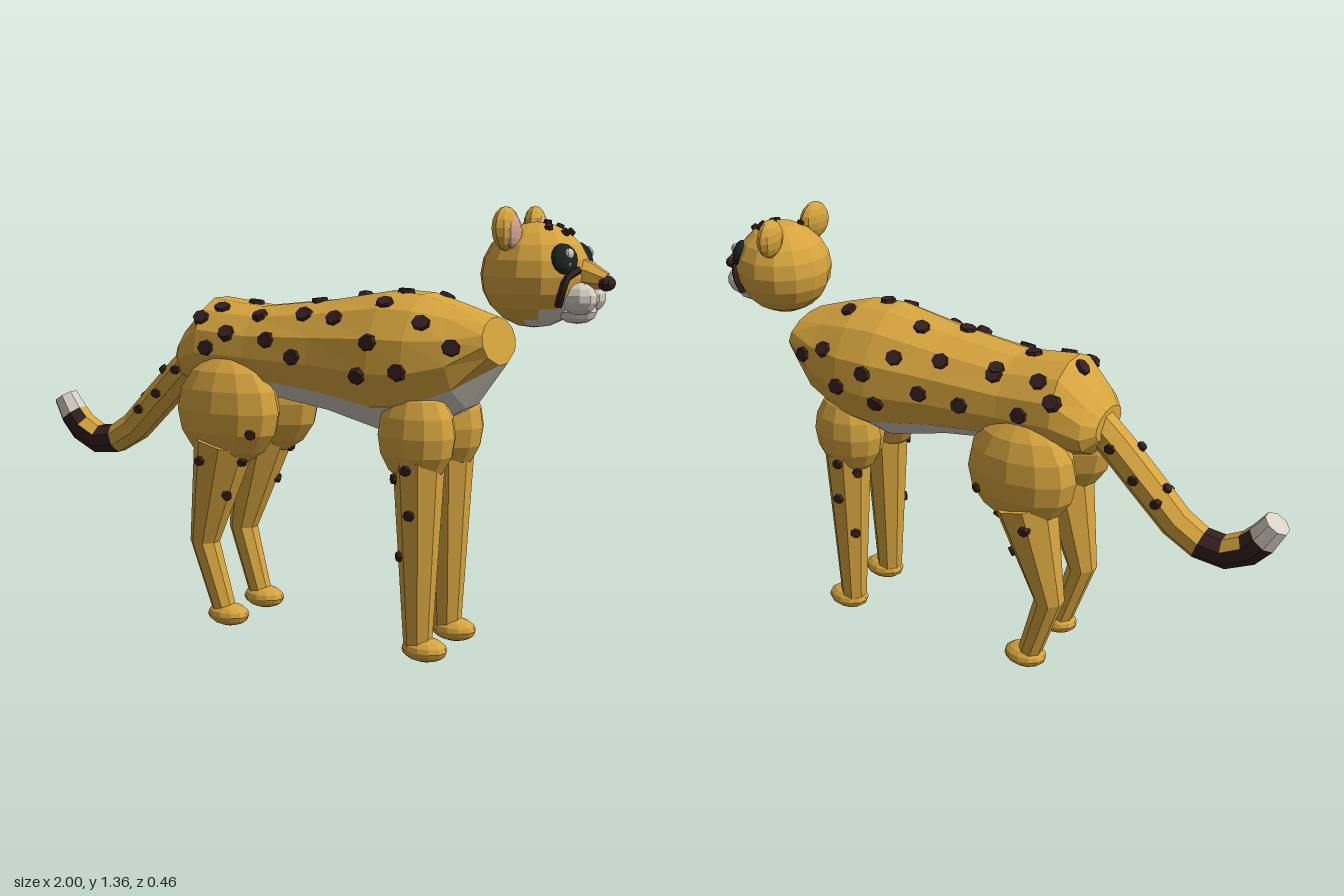
import * as THREE from 'three';

const V = (x, y, z) => new THREE.Vector3(x, y, z);
const paint = (name, color) => Object.assign(new THREE.MeshStandardMaterial({ color }), { name });

export function createModel() {
  const fur = paint('golden fur', 0xd6a43e);
  const cream = paint('cream fur', 0xd6cfc4);
  const dark = paint('dark brown', 0x34201f);
  const black = paint('eye black', 0x1b2321);
  const pink = paint('ear pink', 0xd3a18c);
  const root = new THREE.Group();
  root.name = 'spottedCat';

  // Faceted mesh; rule(centroid, normal, triangle) may pick a material index per face
  function part(name, geo, mat, rule) {
    const g = geo.index ? geo.toNonIndexed() : geo;
    g.clearGroups();
    g.computeVertexNormals();
    if (rule) {
      const p = g.attributes.position, n = g.attributes.normal;
      for (let k = 0; k < p.count / 3; k++) {
        const c = V(0, 0, 0);
        for (let i = 0; i < 3; i++) c.add(V(0, 0, 0).fromBufferAttribute(p, k * 3 + i));
        const normal = V(0, 0, 0).fromBufferAttribute(n, k * 3);
        g.addGroup(k * 3, 3, rule(c.divideScalar(3), normal, k));
      }
    }
    const mesh = new THREE.Mesh(g, mat);
    mesh.name = name;
    root.add(mesh);
    return mesh;
  }

  // Ellipsoid whose local z axis points along dir
  function ball(name, mat, pos, size, w = 12, h = 8, dir = V(0, 0, 1), rule) {
    const g = new THREE.SphereGeometry(1, w, h).scale(...size);
    g.applyQuaternion(new THREE.Quaternion().setFromUnitVectors(V(0, 0, 1), dir.clone().normalize()));
    return part(name, g.translate(...pos), mat, rule);
  }

  // Skin of quads between closed rings, with capped ends
  function loft(rings) {
    const out = [], n = rings[0].length;
    const tri = (...pts) => pts.forEach(p => out.push(p.x, p.y, p.z));
    for (let i = 0; i < rings.length - 1; i++) {
      for (let j = 0; j < n; j++) {
        const k = (j + 1) % n;
        const a = rings[i][j], b = rings[i + 1][j], c = rings[i + 1][k], d = rings[i][k];
        if (j < n / 2) { tri(a, b, d); tri(b, c, d); } else { tri(a, b, c); tri(a, c, d); }
      }
    }
    for (const [ring, end] of [[rings[0], 0], [rings[rings.length - 1], 1]]) {
      const mid = ring.reduce((s, p) => s.add(p), V(0, 0, 0)).divideScalar(n);
      for (let j = 0; j < n; j++) {
        const p = ring[j], q = ring[(j + 1) % n];
        if (end) tri(mid, q, p); else tri(mid, p, q);
      }
    }
    const g = new THREE.BufferGeometry();
    g.setAttribute('position', new THREE.Float32BufferAttribute(out, 3));
    return g;
  }

  // Limb along points [x, y, z, radius]
  function limb(points, sides = 8) {
    return loft(points.map(([x, y, z, r], i) => {
      const a = points[Math.max(i - 1, 0)], b = points[Math.min(i + 1, points.length - 1)];
      const t = V(b[0] - a[0], b[1] - a[1], 0).normalize();
      return Array.from({ length: sides }, (_, j) => {
        const u = (j + 0.5) / sides * Math.PI * 2, c = -r * Math.cos(u);
        return V(x - t.y * c, y + t.x * c, z + r * Math.sin(u));
      });
    }));
  }

  // Body: [x, top, bottom, half width, lean]
  const angles = [-15, 15, 57, 85, 112, 140, 166, 194, 220, 248, 275, 303];
  const sections = [
    [-0.42, 0.93, 0.83, 0.09, 0], [-0.385, 0.98, 0.78, 0.135, 0], [-0.30, 1.072, 0.76, 0.165, 0],
    [-0.12, 1.052, 0.765, 0.165, 0], [0.12, 1.08, 0.73, 0.18, 0], [0.33, 1.118, 0.677, 0.205, 0],
    [0.44, 1.112, 0.69, 0.203, 0], [0.565, 1.08, 0.77, 0.172, -0.02], [0.665, 1.045, 0.905, 0.13, -0.015],
  ];
  const body = part('body', loft(sections.map(([x, top, low, rz, lean]) => angles.map(deg => {
    const a = deg * Math.PI / 180, ry = (top - low) / 2;
    return V(x - lean * Math.cos(a), (top + low) / 2 - ry * Math.cos(a), rz * Math.sin(a));
  }))), [fur, cream], (c, n, k) => {
    const seg = Math.floor(k / 24), j = Math.floor(k / 2) % 12;
    if (seg < 2 || seg > 7) return 0;
    if (seg === 7) return j === 0 || (j === 1 && k % 2 === 0) || (j === 11 && k % 2 === 1) ? 1 : 0;
    return j < 2 || j === 11 ? 1 : 0;
  });

  // Tail with dark end and pale tip
  const tail = part('tail', limb([
    [-0.37, 0.885, 0, 0.057], [-0.45, 0.815, 0, 0.056], [-0.545, 0.72, 0, 0.056], [-0.655, 0.61, 0, 0.054],
    [-0.735, 0.562, 0, 0.052], [-0.815, 0.553, 0, 0.052], [-0.885, 0.588, 0, 0.052],
    [-0.925, 0.632, 0, 0.05], [-0.962, 0.692, 0, 0.043],
  ]), [fur, dark, cream], (c, n, k) => {
    const seg = Math.floor(k / 16);
    if (seg === 7 || (seg > 7 && c.x < -0.9)) return 2;
    if (seg < 4 || seg > 7) return 0;
    return seg > 4 && n.y > 0.5 ? 0 : 1;
  });

  // Legs, mirrored
  const limbs = [];
  for (const s of [1, -1]) {
    limbs.push(
      ball('shoulder', fur, [0.455, 0.695, s * 0.108], [0.122, 0.15, 0.094]),
      part('frontLeg', limb([[0.465, 0.62, s * 0.112, 0.078], [0.47, 0.03, s * 0.112, 0.042]]), fur),
      ball('frontPaw', fur, [0.492, 0.042, s * 0.112], [0.073, 0.037, 0.054]),
      ball('thigh', fur, [-0.195, 0.722, s * 0.125], [0.185, 0.178, 0.103]),
      part('hindLeg', limb([[-0.21, 0.62, s * 0.128, 0.1], [-0.295, 0.28, s * 0.118, 0.049],
        [-0.22, 0.04, s * 0.112, 0.038]]), fur),
      ball('hindPaw', fur, [-0.21, 0.042, s * 0.112], [0.073, 0.037, 0.054]));
  }

  // Head with pale throat
  const hc = V(0.768, 1.17, 0);
  const head = ball('head', [fur, cream], hc.toArray(), [0.155, 0.15, 0.157], 14, 10, V(1, 0, 0), (c) => {
    c.sub(hc);
    return c.y < -0.06 && c.x > 0 && Math.abs(c.z) < 0.09 ? 1 : 0;
  });

  // Face
  part('snout', limb([[0.86, 1.18, 0, 0.06], [0.925, 1.172, 0, 0.042], [0.975, 1.158, 0, 0.024]]), fur);
  ball('nose', dark, [0.977, 1.152, 0], [0.037, 0.022, 0.024], 10, 6, V(1, 0, 0));
  ball('chin', cream, [0.895, 1.072, 0], [0.058, 0.036, 0.062], 10, 6);
  for (const s of [1, -1]) {
    ball('muzzle', cream, [0.912, 1.11, s * 0.04], [0.053, 0.046, 0.047], 10, 7);
    const look = V(0.115, 0.05, s * 0.082);
    ball('eye', black, [0.88, 1.22, s * 0.082], [0.042, 0.045, 0.024], 12, 8, look);
    ball('eyeGlint', cream, [0.897, 1.236, s * 0.088], [0.014, 0.016, 0.01], 8, 5, look);
    ball('eyeGlint', cream, [0.9, 1.205, s * 0.096], [0.006, 0.006, 0.008], 6, 4, look);
    // Tear mark
    const tear = new THREE.CatmullRomCurve3([V(0.912, 1.19, s * 0.052), V(0.896, 1.172, s * 0.092),
      V(0.886, 1.135, s * 0.103), V(0.872, 1.09, s * 0.093)]);
    part('tearMark', new THREE.TubeGeometry(tear, 8, 0.012, 5), dark);
    // Ear and its lining
    ball('ear', fur, [0.722, 1.302, s * 0.117], [0.06, 0.062, 0.033], 10, 8, V(1, 0.05, s * 0.12));
    ball('innerEar', pink, [0.742, 1.293, s * 0.114], [0.042, 0.047, 0.019], 10, 8, V(1, 0.05, s * 0.12));
  }

  // Spots dropped onto the surface along a ray
  root.updateMatrixWorld(true);
  const skin = [body, tail, head, ...limbs];
  const spots = new THREE.Group();
  spots.name = 'spots';
  const ray = new THREE.Raycaster();
  let turn = 0;
  function spot(from, dir, r) {
    ray.set(from, dir);
    const hit = ray.intersectObjects(skin, false)[0];
    if (!hit) return;
    const g = new THREE.CylinderGeometry(r * 0.82, r, 0.022, 7).toNonIndexed();
    g.rotateY(turn += 1.3).scale(1, 1, 0.9);
    g.computeVertexNormals();
    const m = new THREE.Mesh(g, dark);
    m.name = 'spot';
    m.position.copy(hit.point);
    m.quaternion.setFromUnitVectors(V(0, 1, 0), hit.face.normal);
    spots.add(m);
  }
  const side = (list, s, r) => list.forEach(([x, y]) => spot(V(x, y, s * 2), V(0, 0, -s), r));
  const above = (list, r) => list.forEach(([x, z]) => spot(V(x, 3, z), V(0, -1, 0), r));

  // Flanks
  side([[-0.295, 1.01], [-0.185, 0.97], [-0.255, 0.92], [-0.035, 0.955], [0.075, 1.035], [0.065, 0.91],
    [0.19, 1.03], [0.33, 0.97], [0.3, 0.87], [0.48, 1.03], [0.43, 0.89], [0.58, 0.965], [0.345, 1.08]], 1, 0.031);
  side([[-0.3, 0.98], [-0.2, 0.92], [-0.24, 1.02], [-0.09, 1.01], [0.09, 1.02], [0, 0.91], [0.14, 0.92],
    [0.24, 1.01], [0.335, 0.95], [0.29, 0.86], [0.43, 0.89], [0.5, 0.99], [0.59, 0.95]], -1, 0.031);
  // Back and crown
  above([[-0.165, 0], [-0.24, 0.085], [-0.09, 0.1], [-0.09, -0.1], [0.085, 0.03], [0.2, -0.055], [0.38, 0.03],
    [0.47, -0.06], [-0.325, 0]], 0.03);
  above([[0.8, 0], [0.82, 0.045], [0.82, -0.045], [0.86, 0.02], [0.86, -0.02], [0.73, 0.05]], 0.014);
  // Legs and tail
  for (const s of [1, -1]) {
    side([[-0.31, 0.575], [-0.25, 0.565], [-0.13, 0.565], [-0.075, 0.66], [-0.185, 0.45], [0.405, 0.565],
      [0.455, 0.6], [0.465, 0.465], [0.425, 0.33]], s, 0.02);
    side([[-0.45, 0.825], [-0.605, 0.68], [-0.53, 0.74]], s, 0.019);
  }
  above([[-0.52, 0.02], [-0.62, -0.01]], 0.018);
  root.add(spots);
  return root;
}
